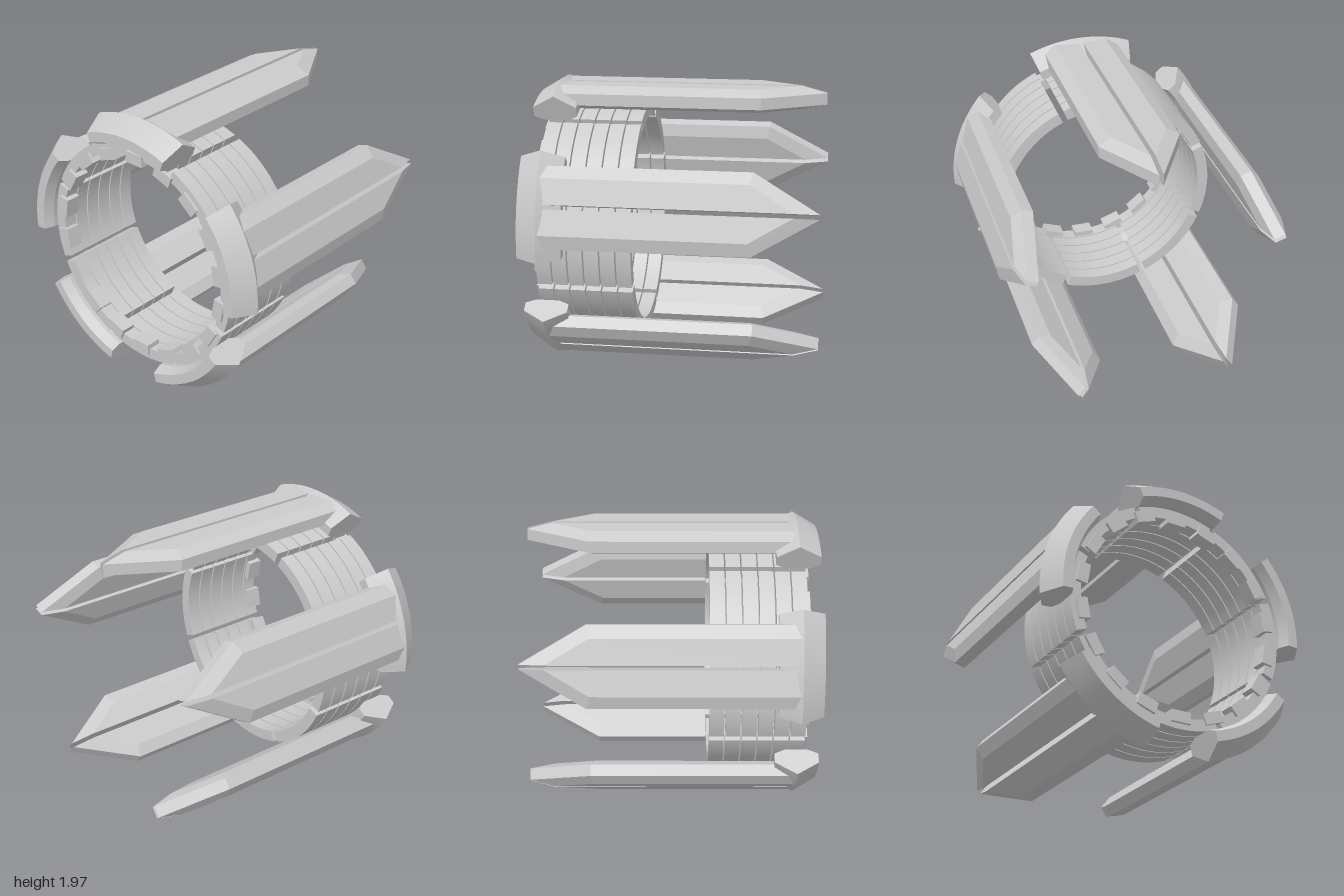
import * as THREE from 'three';
import { toCreasedNormals } from 'three/addons/utils/BufferGeometryUtils.js';
import { ConvexGeometry } from 'three/addons/geometries/ConvexGeometry.js';

const material = new THREE.MeshStandardMaterial({ color: 0xcccccc });

// Sweeps a closed [radius, z] profile around the z axis, centred on the top.
function arcGeometry(profile, halfAngle, steps) {
  const shape = new THREE.Shape(profile.map(([r, z]) => new THREE.Vector2(r, z)));
  const geo = new THREE.ExtrudeGeometry(shape, { depth: 2 * halfAngle, steps, bevelEnabled: false });
  const p = geo.attributes.position;
  for (let i = 0; i < p.count; i++) {
    const r = p.getX(i), z = p.getY(i);
    const a = Math.PI / 2 + halfAngle - p.getZ(i);
    p.setXYZ(i, r * Math.cos(a), r * Math.sin(a), z);
  }
  return toCreasedNormals(geo, 0.4);
}

// One half of a pointed fin: bevelled along its outer edge and slanted tip.
function finHalfGeometry(side) {
  const front = 0.84;
  const rim = [[0.015, front], [0.275, front], [0.275, -0.56], [0.015, -1]];
  const inset = [[0.015, front], [0.19, front], [0.19, -0.537], [0.015, -0.83]];
  const points = [];
  const addLayer = (outline, r) =>
    outline.forEach(([t, z]) => points.push(new THREE.Vector3(side * t, r, z)));
  addLayer(inset, 0.975);
  addLayer(rim, 0.93);
  addLayer(rim, 0.85);
  addLayer(inset, 0.815);
  return new ConvexGeometry(points);
}

export function createModel() {
  const model = new THREE.Group();
  const body = new THREE.Group();
  body.name = 'body';
  body.position.y = 0.97;
  model.add(body);

  // Places copies of a mesh evenly around the z axis.
  const addAround = (name, geo, count, start = 0) => {
    for (let i = 0; i < count; i++) {
      const mesh = new THREE.Mesh(geo, material);
      mesh.name = name;
      mesh.rotation.z = start + (i * 2 * Math.PI) / count;
      body.add(mesh);
    }
  };

  // Five curved clamps with faceted section
  const clampProfile = [
    [0.91, 1], [1, 0.85], [0.91, 0.7], [0.84, 0.7],
    [0.81, 0.77], [0.81, 0.93], [0.84, 1],
  ];
  addAround('clamp', arcGeometry(clampProfile, THREE.MathUtils.degToRad(22), 16), 5);

  // Five split fins pointing backwards
  for (const side of [-1, 1]) addAround('finHalf', finHalfGeometry(side), 5);

  // Six thin rings, each split into eight segments
  for (let i = 0; i < 6; i++) {
    const z0 = 0.25 + i * 0.11, z1 = z0 + 0.1;
    const profile = [[0.73, z0], [0.81, z0], [0.81, z1], [0.73, z1]];
    addAround('ringSegment', arcGeometry(profile, Math.PI / 8 - 0.026, 14), 8);
  }

  // Small teeth around the front opening
  const tooth = new THREE.BoxGeometry(0.145, 0.08, 0.11);
  tooth.translate(0, 0.73, 0.865);
  addAround('tooth', tooth, 18);

  return model;
}
